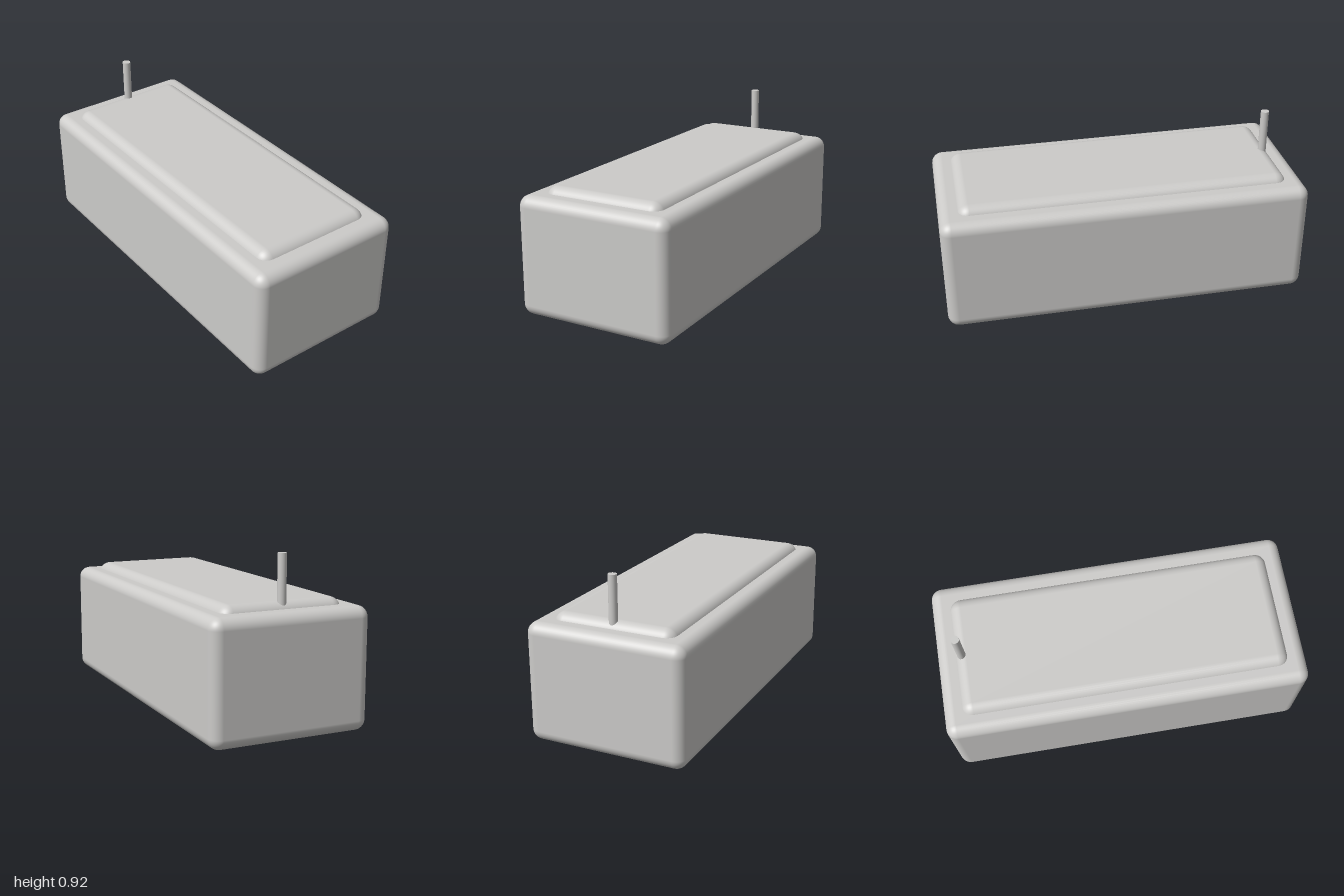
import * as THREE from 'three';
import { RoundedBoxGeometry } from 'three/addons/geometries/RoundedBoxGeometry.js';

export function createModel() {
  const model = new THREE.Group();
  model.name = 'boxWithAntenna';
  const grey = new THREE.MeshStandardMaterial({ color: 0xcccbc9 });
  grey.name = 'warm light grey';

  const add = (name, geometry, x, y, z) => {
    const mesh = new THREE.Mesh(geometry, grey);
    mesh.name = name;
    mesh.position.set(x, y, z);
    model.add(mesh);
  };

  // Main housing with rounded edges
  const bodyHeight = 0.646;
  add('body', new RoundedBoxGeometry(2, bodyHeight, 0.88, 5, 0.06), 0, bodyHeight / 2, 0);

  // Raised panel, its lower half sunk into the housing
  const lidHeight = 0.14;
  const lidTop = 0.683;
  add('topPanel', new RoundedBoxGeometry(1.804, lidHeight, 0.688, 5, 0.065), 0, lidTop - lidHeight / 2, 0);

  // Thin upright rod near the right end
  const rodBottom = 0.62;
  const rodTop = 0.92;
  add('antenna', new THREE.CylinderGeometry(0.023, 0.023, rodTop - rodBottom, 24), -0.862, (rodTop + rodBottom) / 2, 0);

  return model;
}
